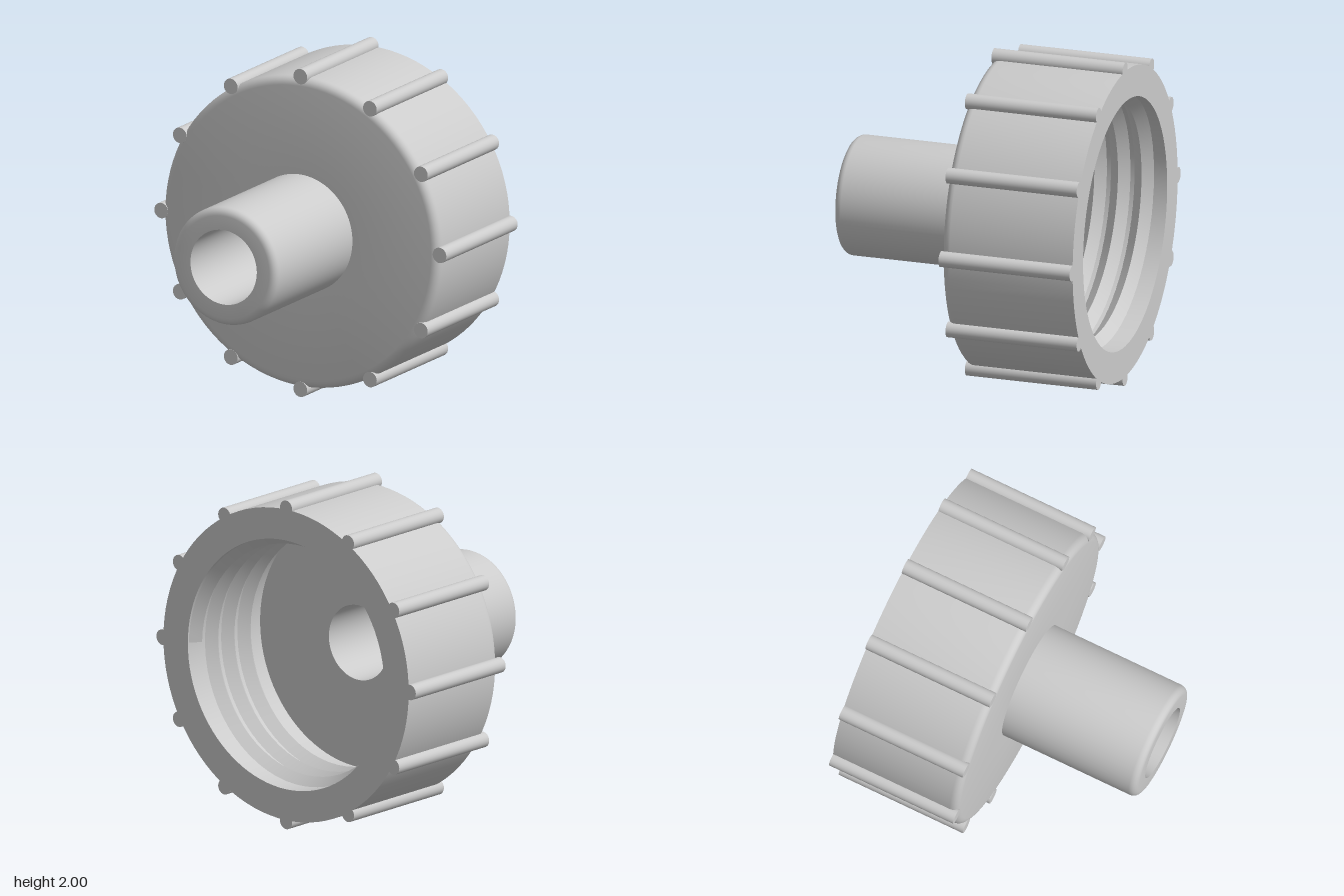
import * as THREE from 'three';
import { toCreasedNormals } from 'three/addons/utils/BufferGeometryUtils.js';

const BACK = -0.845, FACE = -0.03, FLOOR = -0.19, TIP = 0.845;
const CAP_R = 0.945, INNER_R = 0.757, SPOUT_R = 0.357, BORE_R = 0.227;

// Quarter-round edge ending flat, as [radius, z] points
function fillet(radius, z, size, steps = 5) {
  return Array.from({ length: steps + 1 }, (_, i) => {
    const a = (i / steps) * Math.PI / 2;
    return [radius - size + size * Math.cos(a), z - size + size * Math.sin(a)];
  });
}

// Triangular ridge swept along a helix on the inner wall
function threadGeometry(turns, zStart, zEnd, halfWidth, height) {
  const steps = Math.round(turns * 64);
  const profile = [[INNER_R + 0.008, -halfWidth], [INNER_R - height, 0], [INNER_R + 0.008, halfWidth]];
  const positions = [], index = [];
  for (let i = 0; i <= steps; i++) {
    const t = i / steps, angle = t * turns * Math.PI * 2;
    for (const [r, dz] of profile) {
      positions.push(r * Math.cos(angle), r * Math.sin(angle), zStart + (zEnd - zStart) * t + dz);
    }
    if (i === steps) break;
    for (let k = 0; k < 2; k++) {
      const a = i * 3 + k, b = a + 1;
      index.push(a, b, a + 3, b, b + 3, a + 3);
    }
  }
  const last = steps * 3;
  index.push(0, 2, 1, last, last + 1, last + 2); // end caps
  const geometry = new THREE.BufferGeometry();
  geometry.setAttribute('position', new THREE.Float32BufferAttribute(positions, 3));
  geometry.setIndex(index);
  return toCreasedNormals(geometry, 0.5);
}

export function createModel() {
  const model = new THREE.Group();
  model.name = 'threadedHoseCap';
  const material = new THREE.MeshStandardMaterial({ color: 0xcccccc });
  const add = (name, geometry, parent = model) => {
    const mesh = new THREE.Mesh(geometry, material);
    mesh.name = name;
    parent.add(mesh);
    return mesh;
  };

  // Cap and spout: one hollow turned body around the z axis
  const outline = [
    [INNER_R, BACK], [CAP_R, BACK],
    ...fillet(CAP_R, FACE, 0.05),
    [SPOUT_R, FACE],
    ...fillet(SPOUT_R, TIP, 0.045),
    [BORE_R, TIP], [BORE_R, FLOOR],
    [INNER_R, FLOOR], [INNER_R, BACK],
  ].map(([r, z]) => new THREE.Vector2(r, z));
  const body = new THREE.LatheGeometry(outline, 96).rotateX(Math.PI / 2);
  add('capAndSpout', toCreasedNormals(body, 0.5));

  // Internal screw thread
  add('internalThread', threadGeometry(3.5, -0.775, -0.262, 0.07, 0.05));

  // Grip ribs around the rim
  const ribs = new THREE.Group();
  ribs.name = 'gripRibs';
  model.add(ribs);
  const ribGeometry = new THREE.CylinderGeometry(0.047, 0.047, FACE - BACK, 24).rotateX(Math.PI / 2);
  for (let i = 0; i < 12; i++) {
    const angle = (i / 12) * Math.PI * 2;
    add('gripRib', ribGeometry, ribs)
      .position.set(0.953 * Math.cos(angle), 0.953 * Math.sin(angle), (FACE + BACK) / 2);
  }

  model.position.y = 1;
  return model;
}
